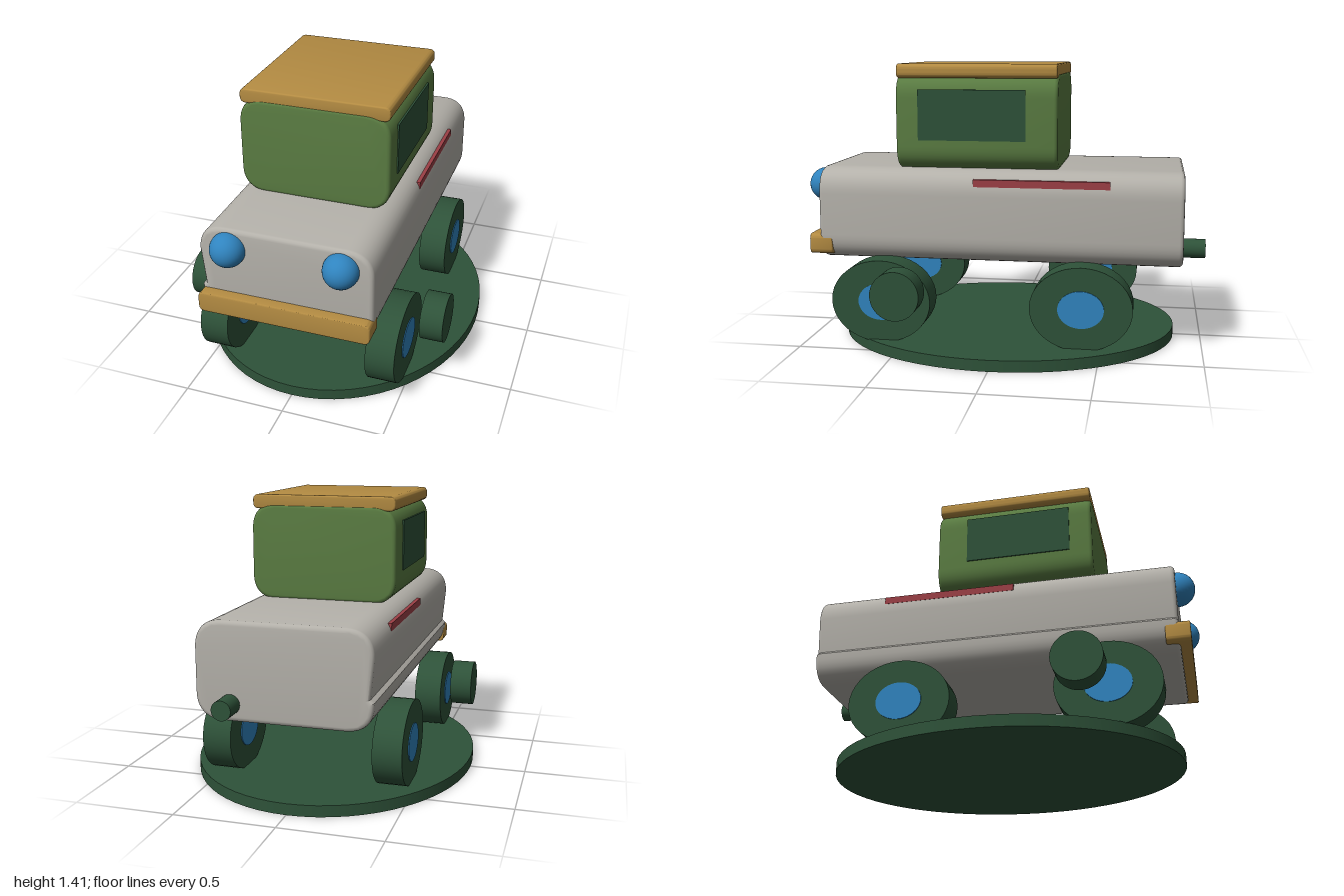
import * as THREE from 'three';
import { toCreasedNormals } from 'three/addons/utils/BufferGeometryUtils.js';

const flat = (name, color) => {
  const m = new THREE.MeshStandardMaterial({ color });
  m.name = name;
  return m;
};

// Rounded slab extruded along z with bevelled ends; an optional crease runs along its -x side.
function slab(w, h, d, r, bevel, crease = 0) {
  const x = w / 2 - bevel, y = h / 2 - bevel, c = r - bevel;
  const s = new THREE.Shape();
  s.moveTo(-x + c, -y);
  s.lineTo(x - c, -y);
  s.quadraticCurveTo(x, -y, x, -y + c);
  s.lineTo(x, y - c);
  s.quadraticCurveTo(x, y, x - c, y);
  s.lineTo(-x + c, y);
  s.quadraticCurveTo(-x, y, -x, y - c);
  if (crease) s.lineTo(-x + crease, -y + c + 0.015);
  s.lineTo(-x, -y + c);
  s.quadraticCurveTo(-x, -y, -x + c, -y);
  const g = new THREE.ExtrudeGeometry(s, {
    depth: d - 2 * bevel, bevelEnabled: true, bevelSize: bevel,
    bevelThickness: bevel, bevelSegments: 3, curveSegments: 10,
  });
  g.translate(0, 0, -(d - 2 * bevel) / 2);
  return toCreasedNormals(g, 0.6);
}

// Cylinder lying along x
const axleCylinder = (r, length) =>
  new THREE.CylinderGeometry(r, r, length, 40).rotateZ(Math.PI / 2);

export function createModel() {
  const grey = flat('body grey', 0xb4b1aa);
  const green = flat('cab green', 0x5a7c42);
  const dark = flat('dark green', 0x2e5239);
  const ochre = flat('ochre', 0xb38b42);
  const blue = flat('blue', 0x3084bf);
  const red = flat('red', 0x9c3f45);

  const model = new THREE.Group();
  model.name = 'toyTruck';
  const add = (name, geometry, material, x, y, z) => {
    const mesh = new THREE.Mesh(geometry, material);
    mesh.name = name;
    mesh.position.set(x, y, z);
    model.add(mesh);
    return mesh;
  };

  // Oval base
  add('base', new THREE.CylinderGeometry(1, 1, 0.056, 64), dark, 0, 0.028, 0.01)
    .scale.set(0.72, 1, 0.87);

  // Body, cab, roof and bumper
  add('body', slab(0.835, 0.465, 1.8, 0.13, 0.02, 0.018), grey, 0, 0.667, 0.008);
  add('cab', slab(0.735, 0.475, 0.8, 0.12, 0.018), green, 0, 1.128, 0.118);
  add('roof', slab(0.725, 0.07, 0.792, 0.028, 0.008), ochre, 0, 1.377, 0.118);
  add('bumper', slab(0.835, 0.103, 0.117, 0.03, 0.006), ochre, 0, 0.514, 0.902);

  // Tail pipe
  add('tailPipe', new THREE.CylinderGeometry(0.047, 0.047, 0.14, 28).rotateX(Math.PI / 2),
    dark, 0.248, 0.517, -0.93);

  for (const side of [1, -1]) {
    const name = side > 0 ? 'left' : 'right';
    add(name + 'Headlamp', new THREE.SphereGeometry(0.084, 32, 20), blue, side * 0.27, 0.8, 0.914);
    add(name + 'Window', new THREE.BoxGeometry(0.009, 0.248, 0.532), dark, side * 0.369, 1.164, 0.139);
    add(name + 'Stripe', new THREE.BoxGeometry(0.024, 0.036, 0.665), red, side * 0.4, 0.838, -0.208);
    add(name + 'Drum', axleCylinder(0.12, 0.114), dark, side * 0.604, 0.323, 0.461);

    // Oval wheels with hubs showing on both faces
    for (const [end, z] of [['Front', 0.576], ['Rear', -0.412]]) {
      add(name + end + 'Wheel', axleCylinder(1, 0.143), dark, side * 0.423, 0.25, z)
        .scale.set(1, 0.206, 0.249);
      add(name + end + 'Hub', axleCylinder(1, 0.152), blue, side * 0.423, 0.25, z)
        .scale.set(1, 0.092, 0.112);
    }
  }
  return model;
}
